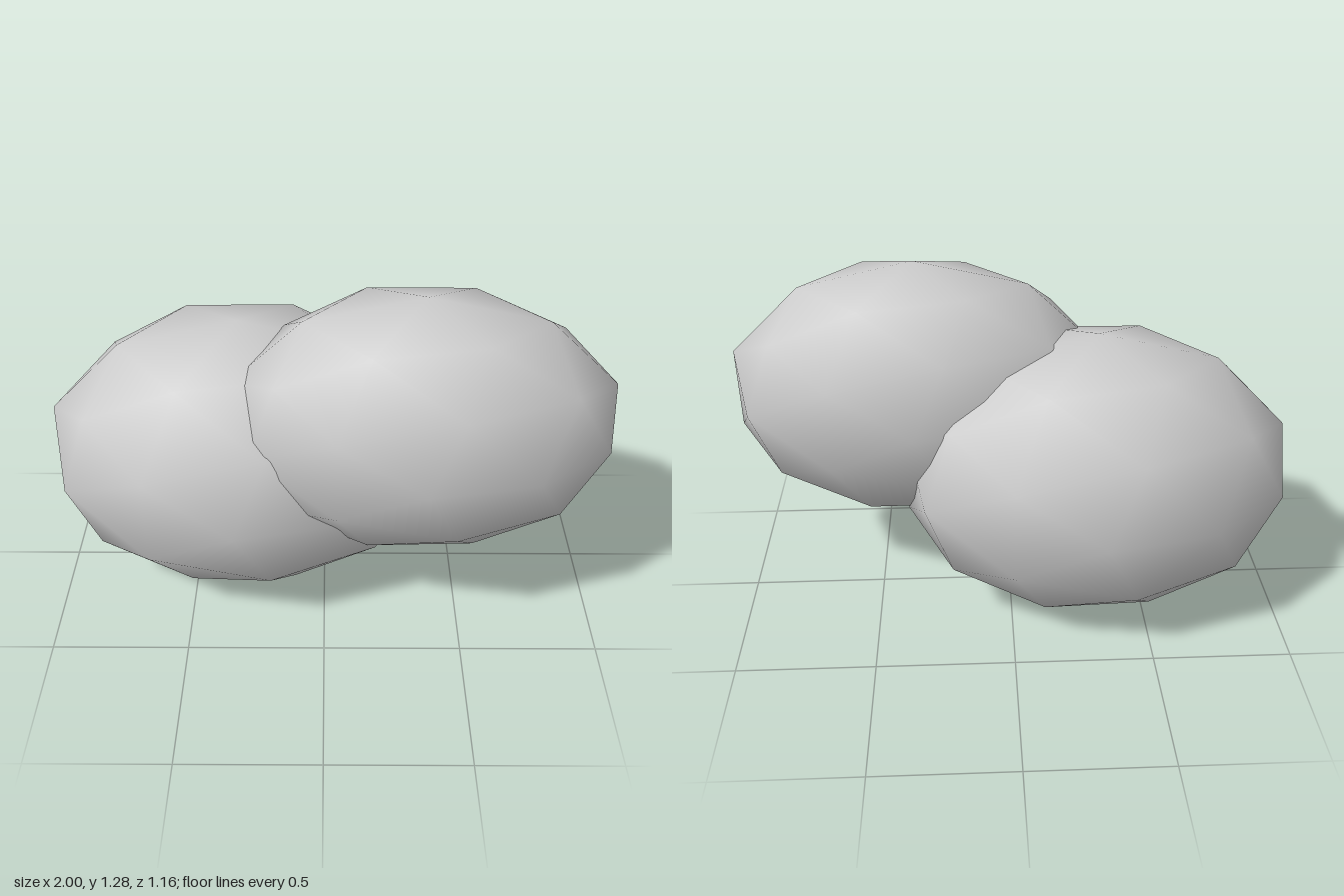
import * as THREE from 'three';

const material = new THREE.MeshStandardMaterial({ color: 0xcccccc });

// Smooth-shaded 80-face icosphere with its five-fold axis along z, stretched to an ellipsoid
function lobe(name, radii, centre) {
  const geometry = new THREE.IcosahedronGeometry(1, 1);
  const golden = (1 + Math.sqrt(5)) / 2;
  geometry.rotateX(Math.atan(1 / golden)); // bring a corner onto +z
  geometry.rotateZ(Math.PI / 2); // turn the next corner towards +x
  geometry.scale(...radii);
  const mesh = new THREE.Mesh(geometry, material);
  mesh.name = name;
  mesh.position.set(...centre);
  return mesh;
}

export function createModel() {
  const group = new THREE.Group();
  group.name = 'twinLobes';
  group.add(
    lobe('lowerRearLobe', [0.727, 0.54, 0.54], [-0.31, 0.54, -0.038]),
    lobe('upperFrontLobe', [0.697, 0.487, 0.427], [0.337, 0.797, 0.151])
  );
  return group;
}
